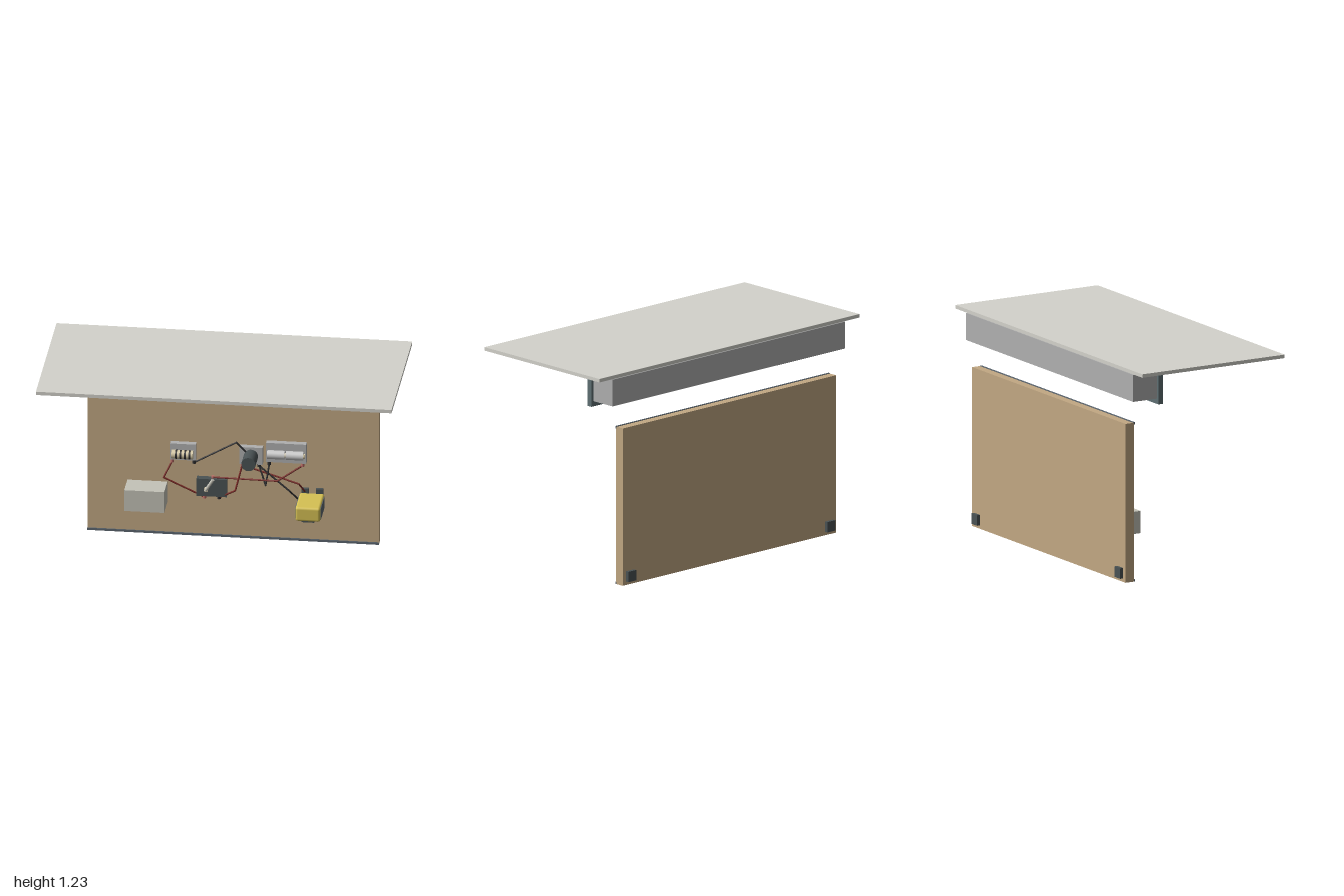
import * as THREE from 'three';
import { RoundedBoxGeometry } from 'three/addons/geometries/RoundedBoxGeometry.js';

const mat = (color) => new THREE.MeshStandardMaterial({ color });
const M = {
  top: mat(0xd4d3cc), slate: mat(0x5f7073), grey: mat(0xb0b0b0), wood: mat(0xc2a883),
  trim: mat(0x5d6770), dark: mat(0x4a5254), black: mat(0x2e2e30), red: mat(0x7a2a26),
  terminal: mat(0xc0706a), yellow: mat(0xd6c154), blue: mat(0x5b7ba6), panel: mat(0x8c8c8c),
  white: mat(0xdedede), cream: mat(0xd8cba8), light: mat(0xc4c3b8)
};

function add(parent, name, geometry, material) {
  const mesh = new THREE.Mesh(geometry, material);
  mesh.name = name;
  parent.add(mesh);
  return mesh;
}

// Box given by its extents on each axis
function box(parent, name, material, [x0, x1], [y0, y1], [z0, z1]) {
  const mesh = add(parent, name, new THREE.BoxGeometry(x1 - x0, y1 - y0, z1 - z0), material);
  mesh.position.set((x0 + x1) / 2, (y0 + y1) / 2, (z0 + z1) / 2);
  return mesh;
}

// Cylinder between two points
function rod(parent, name, material, a, b, r, sides = 24) {
  const p = new THREE.Vector3(...a), q = new THREE.Vector3(...b);
  const dir = q.clone().sub(p);
  const mesh = add(parent, name, new THREE.CylinderGeometry(r, r, dir.length(), sides), material);
  mesh.position.copy(p).lerp(q, 0.5);
  mesh.quaternion.setFromUnitVectors(new THREE.Vector3(0, 1, 0), dir.normalize());
  return mesh;
}

// Wire with straight runs and ball joints
function wire(parent, material, points) {
  const g = new THREE.Group();
  g.name = 'wire';
  parent.add(g);
  points.forEach((p, i) => {
    add(g, 'wireBend', new THREE.SphereGeometry(0.005, 8, 6), material).position.set(...p);
    if (i) rod(g, 'wireRun', material, points[i - 1], p, 0.005, 8);
  });
}

function group(parent, name) {
  const g = new THREE.Group();
  g.name = name;
  parent.add(g);
  return g;
}

function terminals(parent, y, z, xs) {
  xs.forEach((x, i) => rod(parent, 'terminal', i ? M.black : M.terminal, [x, y - 0.015, z], [x, y + 0.005, z], 0.01, 12));
}

export function createModel() {
  const model = new THREE.Group();
  model.name = 'workbench';

  // Worktop
  box(model, 'worktop', M.top, [-1, 1], [1.21, 1.23], [-0.455, 0.476]);

  // Shelf box with its front board, hung under the worktop
  const shelf = group(model, 'shelf');
  box(shelf, 'frontBoard', M.slate, [-0.91, 0.91], [1.02, 1.2], [-0.295, -0.265]);
  box(shelf, 'shelfBox', M.grey, [-0.893, 0.893], [1.05, 1.205], [-0.45, -0.295]);
  for (let i = -2; i <= 2; i++) {
    const x = i * 0.345;
    box(shelf, 'underPanel', M.panel, [x - 0.155, x + 0.155], [1.045, 1.05], [-0.425, -0.3]);
    box(shelf, 'panelSlot', M.dark, [x - 0.03, x + 0.03], [1.0435, 1.046], [-0.338, -0.33]);
  }
  for (let i = -1; i <= 1; i++)
    for (const [z0, z1] of [[-0.38, -0.34], [-0.325, -0.297]])
      box(shelf, 'blueTile', M.blue, [-0.34 + i * 0.092 - 0.042, -0.34 + i * 0.092 + 0.042], [1.038, 1.047], [z0, z1]);

  // Light bar with five lamps
  const lightBar = group(model, 'lightBar');
  box(lightBar, 'lightRail', M.grey, [-0.9, 0.9], [1.19, 1.207], [-0.16, -0.12]);
  for (let i = -2; i <= 2; i++) {
    const x = i * 0.24;
    box(lightBar, 'lampHousing', M.light, [x - 0.042, x + 0.042], [1.184, 1.191], [-0.155, -0.125]);
    box(lightBar, 'lampLens', M.white, [x - 0.03, x + 0.03], [1.178, 1.185], [-0.148, -0.132]);
  }

  // Back board with edge strips and rear feet
  const board = group(model, 'backBoard');
  box(board, 'boardPanel', M.wood, [-0.82, 0.82], [0, 0.91], [-0.455, -0.4]);
  box(board, 'topStrip', M.trim, [-0.82, 0.82], [0.9, 0.913], [-0.405, -0.394]);
  box(board, 'bottomStrip', M.trim, [-0.82, 0.82], [0, 0.013], [-0.405, -0.394]);
  for (const s of [-1, 1])
    box(board, 'rearFoot', M.dark, [s * 0.765 - 0.03, s * 0.765 + 0.03], [0.02, 0.08], [-0.475, -0.455]);

  // Resistor on its base
  const resistor = group(model, 'resistor');
  box(resistor, 'resistorBase', M.grey, [-0.345, -0.2], [0.49, 0.588], [-0.36, -0.325]);
  rod(resistor, 'resistorBody', M.cream, [-0.333, 0.535, -0.3], [-0.212, 0.535, -0.3], 0.025);
  for (const x of [-0.305, -0.28, -0.255, -0.23])
    rod(resistor, 'resistorBand', M.black, [x - 0.005, 0.535, -0.3], [x + 0.005, 0.535, -0.3], 0.0262);
  terminals(resistor, 0.485, -0.335, [-0.34 + 0.005, -0.21]);

  // Motor on its base
  const motor = group(model, 'motor');
  box(motor, 'motorBase', M.grey, [0.045, 0.175], [0.485, 0.588], [-0.36, -0.325]);
  rod(motor, 'motorBody', M.dark, [0.11, 0.535, -0.325], [0.11, 0.535, -0.21], 0.04, 32);
  terminals(motor, 0.485, -0.335, [0.06, 0.155]);

  // Two cells in a holder
  const battery = group(model, 'batteryHolder');
  box(battery, 'holderBase', M.grey, [0.195, 0.42], [0.505, 0.622], [-0.36, -0.325]);
  for (const x of [0.205, 0.31]) {
    rod(battery, 'cell', M.white, [x, 0.562, -0.302], [x + 0.098, 0.562, -0.302], 0.025);
    rod(battery, 'cellTip', M.cream, [x + 0.098, 0.562, -0.302], [x + 0.106, 0.562, -0.302], 0.014);
  }
  terminals(battery, 0.5, -0.335, [0.4, 0.212]);

  // Lever switch
  const lever = group(model, 'leverSwitch');
  box(lever, 'switchBody', M.dark, [-0.195, -0.025], [0.28, 0.385], [-0.355, -0.315]);
  rod(lever, 'switchPivot', M.cream, [-0.14, 0.325, -0.315], [-0.14, 0.325, -0.298], 0.012);
  rod(lever, 'switchLever', M.light, [-0.143, 0.32, -0.302], [-0.1, 0.39, -0.298], 0.009, 12);
  terminals(lever, 0.278, -0.33, [-0.152, -0.07]);
  rod(lever, 'topTerminal', M.terminal, [-0.105, 0.38, -0.335], [-0.105, 0.398, -0.335], 0.009, 12);

  // Pale storage box
  const caseBox = group(model, 'paleBox');
  box(caseBox, 'caseBody', M.light, [-0.59, -0.365], [0.21, 0.337], [-0.36, -0.215]);
  box(caseBox, 'caseLabel', M.blue, [-0.43, -0.37], [0.204, 0.211], [-0.3, -0.24]);
  rod(caseBox, 'caseKnob', M.grey, [-0.41, 0.195, -0.27], [-0.41, 0.21, -0.27], 0.015, 16);

  // Yellow unit with dark side panels and rear tabs
  const unit = group(model, 'yellowUnit');
  const body = add(unit, 'unitBody', new RoundedBoxGeometry(0.14, 0.085, 0.21, 3, 0.014), M.yellow);
  body.position.set(0.45, 0.272, -0.255);
  for (const s of [-1, 1]) {
    box(unit, 'sidePanel', M.trim, [0.45 + s * 0.07 - 0.002, 0.45 + s * 0.07 + 0.002], [0.237, 0.306], [-0.335, -0.17]);
    box(unit, 'rearTab', M.dark, [0.45 + s * 0.04 - 0.02, 0.45 + s * 0.04 + 0.02], [0.295, 0.337], [-0.378, -0.358]);
  }
  box(unit, 'lowerPlate', M.dark, [0.415, 0.485], [0.22, 0.232], [-0.215, -0.165]);
  rod(unit, 'lowerKnob', M.dark, [0.45, 0.205, -0.27], [0.45, 0.232, -0.27], 0.025, 16);

  // Wiring between the parts
  const wiring = group(model, 'wiring');
  wire(wiring, M.red, [[-0.335, 0.475, -0.335], [-0.38, 0.385, -0.31], [-0.152, 0.27, -0.33]]);
  wire(wiring, M.black, [[-0.21, 0.475, -0.335], [0.03, 0.62, -0.315], [0.155, 0.475, -0.335]]);
  wire(wiring, M.red, [[0.06, 0.475, -0.335], [0.025, 0.33, -0.3], [-0.07, 0.27, -0.33]]);
  wire(wiring, M.red, [[0.4, 0.49, -0.335], [0.26, 0.4, -0.305], [-0.105, 0.39, -0.335]]);
  wire(wiring, M.black, [[0.212, 0.49, -0.335], [0.195, 0.37, -0.305], [0.155, 0.475, -0.335]]);
  wire(wiring, M.red, [[0.06, 0.475, -0.335], [0.38, 0.385, -0.315], [0.41, 0.325, -0.35]]);
  wire(wiring, M.black, [[0.155, 0.475, -0.335], [0.33, 0.345, -0.3], [0.385, 0.275, -0.33]]);

  return model;
}
